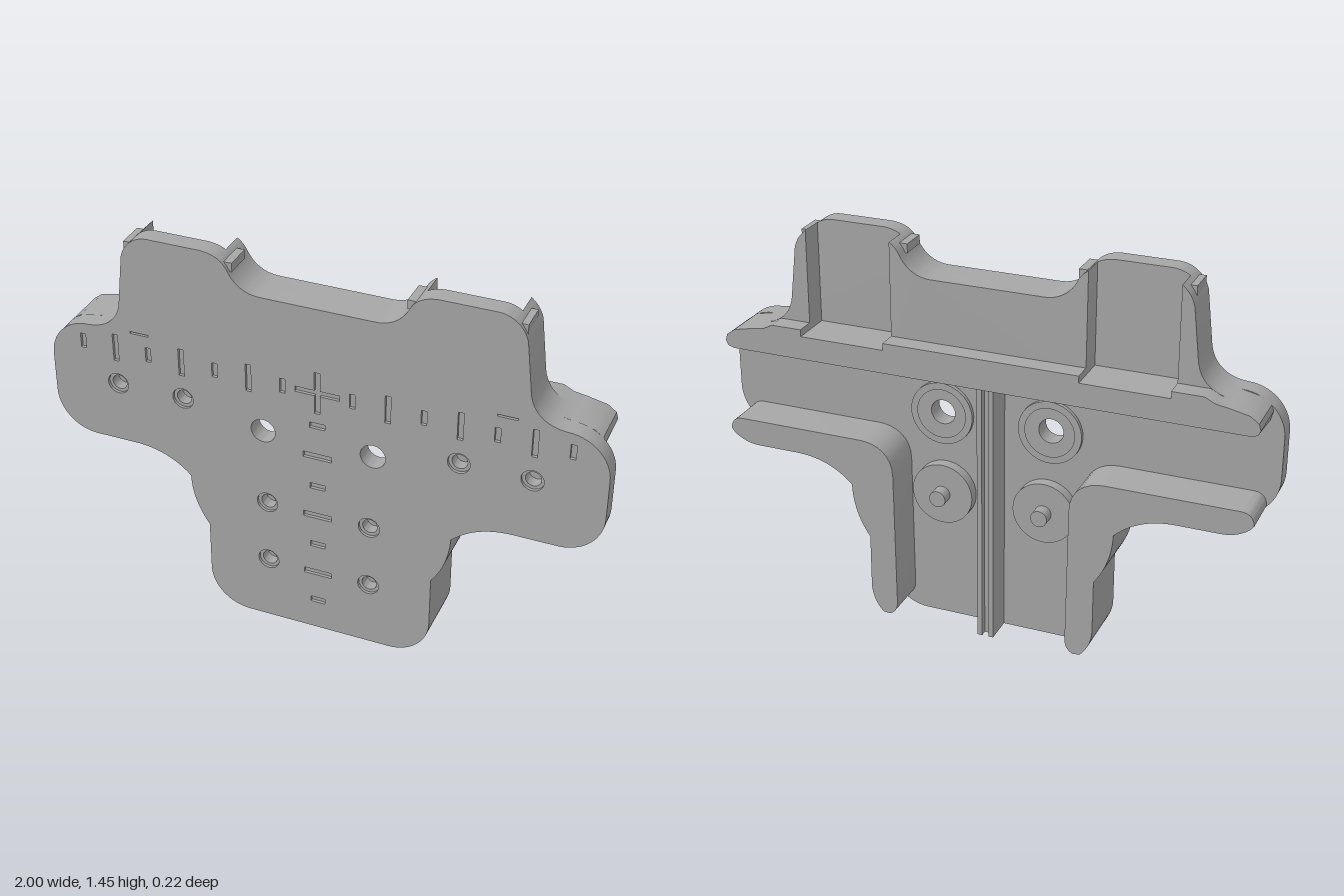
import * as THREE from 'three';
import { toCreasedNormals } from 'three/addons/utils/BufferGeometryUtils.js';

const FRONT = 0.113, PLATE_BACK = 0.045, UPPER_BACK = -0.043, BACK = -0.112;
const V = (x, y) => new THREE.Vector2(x, y);
const flip = pts => pts.map(p => V(-p.x, p.y)).reverse();

// Right half of the silhouette, from bottom centre to top centre
function halfOutline() {
  const p = new THREE.Path();
  p.moveTo(0, 0);
  p.lineTo(0.27, 0);
  p.bezierCurveTo(0.353, 0, 0.42, 0.067, 0.42, 0.15);
  p.lineTo(0.42, 0.345);
  p.quadraticCurveTo(0.482, 0.43, 0.485, 0.54);
  p.quadraticCurveTo(0.57, 0.625, 0.70, 0.625);
  p.lineTo(0.85, 0.625);
  p.bezierCurveTo(0.933, 0.625, 1, 0.692, 1, 0.775);
  p.lineTo(1, 0.925);
  p.bezierCurveTo(1, 1.008, 0.933, 1.075, 0.85, 1.075);
  p.bezierCurveTo(0.77, 1.08, 0.73, 1.13, 0.724, 1.19);
  p.lineTo(0.703, 1.37);
  p.bezierCurveTo(0.69, 1.42, 0.65, 1.453, 0.60, 1.453);
  p.lineTo(0.41, 1.453);
  p.bezierCurveTo(0.36, 1.45, 0.33, 1.43, 0.313, 1.395);
  p.bezierCurveTo(0.29, 1.35, 0.25, 1.325, 0.20, 1.325);
  p.lineTo(0, 1.325);
  return p.getPoints(14);
}

const rect = (x, y, w, h) => [V(x - w / 2, y - h / 2), V(x + w / 2, y - h / 2), V(x + w / 2, y + h / 2), V(x - w / 2, y + h / 2)];
const circle = (x, y, r) => new THREE.Path().absarc(x, y, r, 0, Math.PI * 2, true).getPoints(28).slice(0, -1);

function extrude(points, z0, z1, holes = []) {
  const shape = new THREE.Shape(points);
  shape.holes = holes.map(h => new THREE.Path(h));
  const g = new THREE.ExtrudeGeometry(shape, { depth: z1 - z0, bevelEnabled: false, curveSegments: 16 });
  g.translate(0, 0, z0);
  return toCreasedNormals(g, 0.6);
}

export function createModel() {
  const model = new THREE.Group();
  model.name = 'drillingTemplate';
  const grey = new THREE.MeshStandardMaterial({ color: 0xa6a6a6 });
  grey.name = 'grey plastic';
  const add = (name, geometry) => {
    const mesh = new THREE.Mesh(geometry, grey);
    mesh.name = name;
    model.add(mesh);
    return mesh;
  };
  const box = (name, x0, x1, y0, y1, z0, z1) => {
    const g = new THREE.BoxGeometry(x1 - x0, y1 - y0, z1 - z0);
    g.translate((x0 + x1) / 2, (y0 + y1) / 2, (z0 + z1) / 2);
    return add(name, g);
  };

  const half = halfOutline();
  const outline = [...half, ...flip(half).slice(1, -1)];

  // Scale marks engraved in the front, with a cross at the centre
  const marks = [];
  for (let i = 1; i <= 7; i++) {
    const long = i % 2 ? 0.055 : 0.105;
    for (const s of [-1, 1]) marks.push(rect(s * i * 0.125, 1.005, 0.02, long));
    marks.push(rect(0, i * 0.125, long, 0.022));
  }
  for (const s of [-1, 1]) marks.push(rect(s * 0.655, 1.08, 0.07, 0.007));
  const a = 0.01, b = 0.08, c = 1.005;
  marks.push([V(-a, c - b), V(a, c - b), V(a, c - a), V(b, c - a), V(b, c + a), V(a, c + a),
    V(a, c + b), V(-a, c + b), V(-a, c + a), V(-b, c + a), V(-b, c - a), V(-a, c - a)]);

  // Plate in three layers: engraved skin, blind-hole core, back sheet
  const blind = [[0.75, 0.86], [0.5, 0.86], [0.19, 0.505], [0.19, 0.255]];
  const mirrored = list => list.flatMap(([x, y]) => [[x, y], [-x, y]]);
  const through = mirrored([[0.2, 0.805]]).map(([x, y]) => circle(x, y, 0.045));
  const wide = mirrored(blind).map(([x, y]) => circle(x, y, 0.039));
  const narrow = mirrored(blind).map(([x, y]) => circle(x, y, 0.027));
  add('frontSkin', extrude(outline, 0.102, FRONT, [...marks, ...wide, ...through]));
  add('plateCore', extrude(outline, 0.06, 0.102, [...narrow, ...through]));
  add('plateBack', extrude(outline, PLATE_BACK, 0.06, through));

  // Thick upper body, leaving a pocket in each lobe
  const centre = half.filter(p => p.x <= 0.35 && p.y > 1.1);
  const centreHalf = [V(0.35, 1.05), V(0.35, 1.434), ...centre];
  add('upperCentre', extrude([...centreHalf, ...flip(centreHalf).slice(1)], UPPER_BACK, PLATE_BACK));
  const shoulder = half.filter(p => p.x >= 0.66 && p.x <= 0.85 && p.y >= 1.07);
  const shoulderShape = [V(0.66, 1.05), V(0.85, 1.05), ...shoulder, V(0.66, 1.436)];

  // Wall that follows the underarm and the leg
  const under = half.filter(p => p.y >= 0.035 && p.y < 0.7 && p.x >= 0.35 && p.x <= 0.95);
  const inner = new THREE.Path();
  inner.moveTo(0.958, 0.675);
  inner.quadraticCurveTo(0.955, 0.72, 0.91, 0.72);
  inner.lineTo(0.45, 0.72);
  inner.bezierCurveTo(0.38, 0.72, 0.325, 0.68, 0.325, 0.60);
  inner.lineTo(0.32, 0.09);
  inner.quadraticCurveTo(0.322, 0.055, 0.35, 0.042);
  const wall = [...under, ...inner.getPoints(8)];

  for (const s of [1, -1]) {
    const side = s > 0 ? 'left' : 'right';
    const m = pts => (s > 0 ? pts : flip(pts));
    add(side + 'Shoulder', extrude(m(shoulderShape), UPPER_BACK, PLATE_BACK));
    add(side + 'LegWall', extrude(m(wall), BACK, PLATE_BACK));

    // Small clips at the lobe corners
    for (const [x0, x1] of [[0.665, 0.697], [0.303, 0.335]]) {
      box(side + 'Clip', Math.min(s * x0, s * x1), Math.max(s * x0, s * x1), 1.39, 1.422, 0, 0.1);
    }

    // Collar around the through hole
    add(side + 'HoleCollar', extrude(circle(s * 0.2, 0.805, 0.115), 0.03, PLATE_BACK, [circle(s * 0.2, 0.805, 0.09)]));

    // Round boss with a pin
    add(side + 'Boss', extrude(circle(s * 0.19, 0.505, 0.113), 0.005, PLATE_BACK));
    add(side + 'BossPin', extrude(circle(s * 0.19, 0.505, 0.03), -0.04, 0.005));
  }

  // Long shelf across the back, stepped down at the pockets, sloped beneath
  const shelfHalf = [V(0.925, 0.99), V(0.948, 0.997), V(0.957, 1.015), V(0.95, 1.038), V(0.92, 1.06),
    V(0.85, 1.075), V(0.805, 1.082), V(0.77, 1.1), V(0.66, 1.1), V(0.66, 1.075), V(0.35, 1.075), V(0.35, 1.1)];
  const shelf = extrude([...shelfHalf, ...flip(shelfHalf)], BACK, PLATE_BACK);
  const pos = shelf.attributes.position;
  for (let i = 0; i < pos.count; i++) {
    if (pos.getY(i) < 0.999 && pos.getZ(i) > 0) pos.setY(i, pos.getY(i) - 0.015);
  }
  add('backShelf', toCreasedNormals(shelf, 0.6));

  // Grooved centre rib
  box('ribFloor', -0.03, 0.03, 0, 0.99, -0.035, PLATE_BACK);
  for (const s of [-1, 1]) box('ribEdge', s * 0.021 - 0.009, s * 0.021 + 0.009, 0, 0.99, -0.06, -0.035);

  return model;
}
